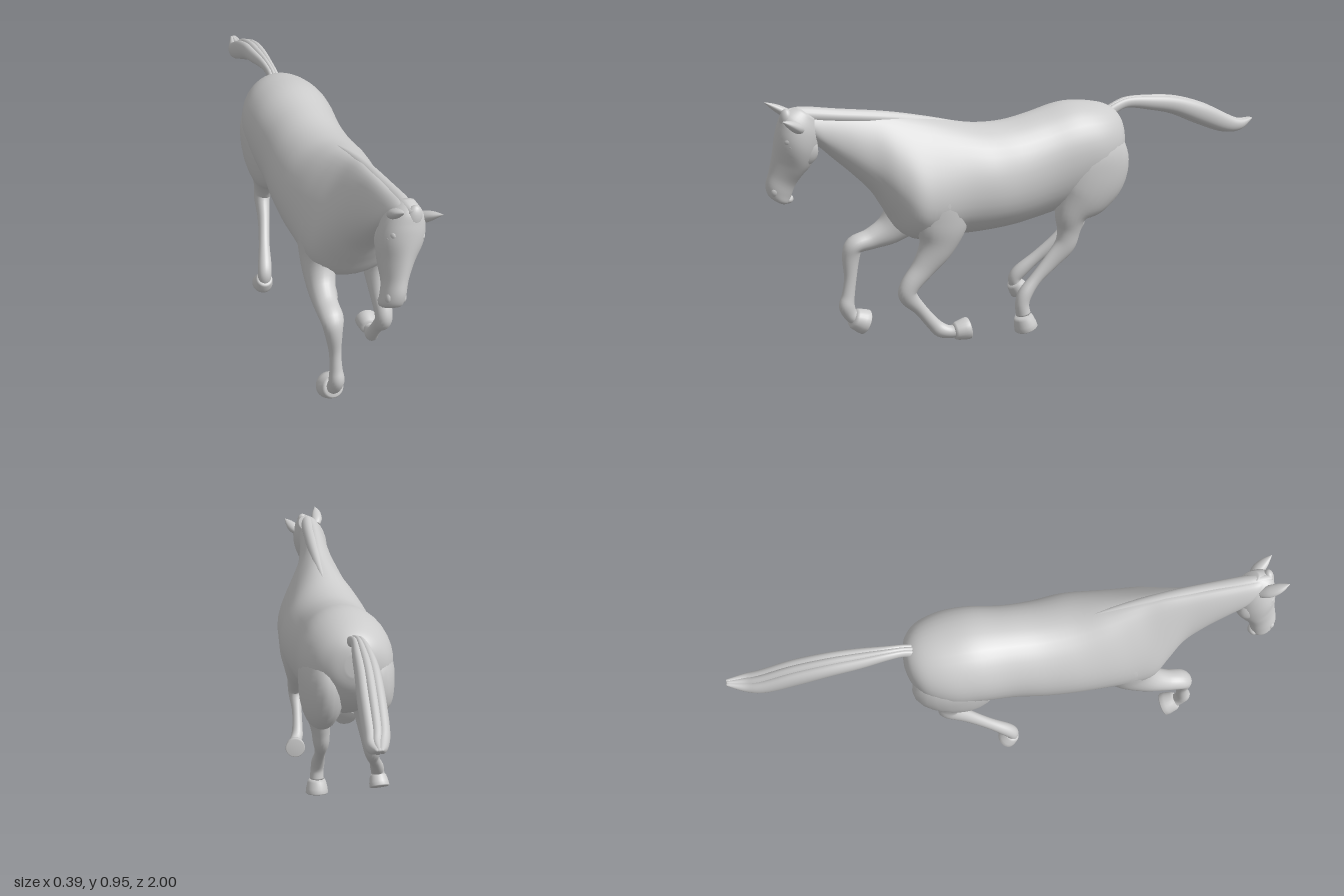
import * as THREE from 'three';

const material = new THREE.MeshStandardMaterial({ color: 0xcccccc });
const V = (x, y, z) => new THREE.Vector3(x, y, z);

// Smoothly interpolate rows of numbers (Catmull-Rom on every column).
function resample(rows, steps) {
  const out = [];
  const last = rows.length - 1;
  for (let i = 0; i <= last * steps; i++) {
    const k = Math.min(Math.floor(i / steps), last - 1), t = i / steps - k;
    const [a, b, c, d] = [k - 1, k, k + 1, k + 2].map((n) => rows[Math.min(Math.max(n, 0), last)]);
    out.push(b.map((p, j) => p + 0.5 * t * (c[j] - a[j]
      + t * (2 * a[j] - 5 * p + 4 * c[j] - d[j] + t * (3 * (p - c[j]) + d[j] - a[j])))));
  }
  return out;
}

// Skin closed rings {c, side, depth, egg}; egg narrows the +depth half.
function skin(name, rings, n) {
  const pos = [], idx = [];
  for (const r of rings) {
    for (let j = 0; j < n; j++) {
      const a = (j / n) * Math.PI * 2, s = Math.sin(a);
      const p = r.c.clone().addScaledVector(r.side, Math.cos(a) * (1 - (r.egg || 0) * s)).addScaledVector(r.depth, s);
      pos.push(p.x, p.y, p.z);
    }
  }
  for (let i = 0; i < rings.length - 1; i++) {
    for (let j = 0; j < n; j++) {
      const a = i * n + j, b = i * n + (j + 1) % n;
      idx.push(a, b, b + n, a, b + n, a + n);
    }
  }
  const end = rings.length * n, tail = end - n;
  for (const r of [rings[0], rings[rings.length - 1]]) pos.push(r.c.x, r.c.y, r.c.z);
  for (let j = 0; j < n; j++) {
    const k = (j + 1) % n;
    idx.push(end, k, j, end + 1, tail + j, tail + k);
  }
  const g = new THREE.BufferGeometry();
  g.setAttribute('position', new THREE.Float32BufferAttribute(pos, 3));
  g.setIndex(idx);
  g.computeVertexNormals();
  const mesh = new THREE.Mesh(g, material);
  mesh.name = name;
  return mesh;
}

// Rows: x, lower z, lower y, upper z, upper y, half width, egg
function slab(name, rows, steps = 5, n = 36) {
  return skin(name, resample(rows, steps).map(([x, z0, y0, z1, y1, w, egg]) => ({
    c: V(x, (y0 + y1) / 2, (z0 + z1) / 2),
    side: V(Math.max(w, 0.001), 0, 0),
    depth: V(0, (y1 - y0) / 2, (z1 - z0) / 2), egg,
  })), n);
}

// Rows: x, y, z, half width, half depth; rings stand square to the path
function limb(name, rows, steps = 5, n = 24) {
  const s = resample(rows, steps), at = (i) => V(...s[Math.min(Math.max(i, 0), s.length - 1)].slice(0, 3));
  return skin(name, s.map(([x, y, z, w, d], i) => {
    const t = at(i + 1).sub(at(i - 1)).normalize();
    const side = V(1, 0, 0).addScaledVector(t, -t.x).normalize();
    const depth = t.clone().cross(side);
    return { c: V(x, y, z), side: side.multiplyScalar(Math.max(w, 0.001)), depth: depth.multiplyScalar(Math.max(d, 0.001)) };
  }), n);
}

// Rounded hoof turned from coronet to sole
function hoof(name, top, sole, r = 0.041) {
  const axis = top.clone().sub(sole), h = axis.length();
  const profile = [[0, 0], [0.9, 0], [1, 0.08], [0.96, 0.4], [0.82, 0.9], [0.68, 1.1], [0, 1.15]]
    .map(([a, b]) => new THREE.Vector2(a * r, b * h));
  const m = new THREE.Mesh(new THREE.LatheGeometry(profile, 24), material);
  m.position.copy(sole);
  m.quaternion.setFromUnitVectors(V(0, 1, 0), axis.normalize());
  m.name = name;
  return m;
}

function ball(name, p, sx, sy, sz) {
  const m = new THREE.Mesh(new THREE.SphereGeometry(1, 20, 14), material);
  m.position.copy(p);
  m.scale.set(sx, sy, sz);
  m.name = name;
  return m;
}

export function createModel() {
  const horse = new THREE.Group();
  horse.name = 'gallopingHorse';

  // Rump, barrel, chest and neck in one skin, rear to front
  horse.add(slab('bodyAndNeck', [
    [0, -0.37, 0.69, -0.364, 0.77, 0.03, 0],
    [0, -0.357, 0.635, -0.347, 0.81, 0.082, 0],
    [0, -0.31, 0.56, -0.3, 0.84, 0.135, 0],
    [0, -0.22, 0.49, -0.22, 0.857, 0.166, -0.04],
    [0, -0.12, 0.46, -0.12, 0.86, 0.17, -0.05],
    [0, 0, 0.437, 0, 0.835, 0.165, 0],
    [0, 0.12, 0.422, 0.12, 0.815, 0.174, 0.05],
    [0.003, 0.24, 0.42, 0.24, 0.818, 0.183, 0.1],
    [0, 0.36, 0.422, 0.35, 0.84, 0.175, 0.23],
    [0, 0.47, 0.42, 0.43, 0.858, 0.166, 0.36],
    [0, 0.54, 0.45, 0.5, 0.873, 0.153, 0.46],
    [-0.004, 0.59, 0.53, 0.57, 0.888, 0.12, 0.43],
    [-0.01, 0.64, 0.61, 0.65, 0.9, 0.085, 0.32],
    [-0.015, 0.71, 0.685, 0.73, 0.912, 0.066, 0.25],
    [-0.018, 0.77, 0.742, 0.81, 0.922, 0.056, 0.2],
    [-0.018, 0.82, 0.79, 0.88, 0.93, 0.05, 0.15],
    [-0.016, 0.87, 0.83, 0.91, 0.925, 0.035, 0.1],
  ]));

  // Mane lying along the crest
  horse.add(slab('mane', [
    [0.005, 0.28, 0.8, 0.28, 0.822, 0.003, 0],
    [0.008, 0.42, 0.82, 0.42, 0.859, 0.017, 0.1],
    [0.006, 0.58, 0.845, 0.58, 0.893, 0.024, 0.1],
    [0, 0.74, 0.865, 0.75, 0.917, 0.027, 0.1],
    [-0.006, 0.88, 0.88, 0.88, 0.935, 0.027, 0.1],
    [-0.004, 0.93, 0.88, 0.945, 0.925, 0.015, 0.1],
  ], 5, 16));

  // Head, modelled upright then tipped towards the right
  const head = new THREE.Group();
  head.name = 'head';
  const pivot = V(-0.005, 0.9, 0);
  const local = (m) => { m.position.sub(pivot); head.add(m); };
  local(slab('skull', [
    [0, 0.83, 0.895, 0.89, 0.938, 0.028, 0],
    [0, 0.82, 0.84, 0.94, 0.92, 0.056, 0],
    [0, 0.825, 0.775, 0.957, 0.88, 0.069, -0.08],
    [0, 0.845, 0.728, 0.967, 0.835, 0.067, -0.05],
    [0, 0.873, 0.695, 0.976, 0.775, 0.052, 0.15],
    [0, 0.898, 0.652, 0.986, 0.715, 0.038, 0.05],
    [0, 0.91, 0.615, 0.997, 0.665, 0.037, 0],
    [0, 0.918, 0.592, 0.99, 0.625, 0.035, 0],
    [0, 0.932, 0.585, 0.965, 0.602, 0.018, 0],
  ]));
  local(ball('chin', V(0, 0.602, 0.922), 0.024, 0.016, 0.02));
  local(ball('forelock', V(0.004, 0.895, 0.932), 0.027, 0.042, 0.022));
  for (const s of [-1, 1]) {
    local(ball('eye', V(s * 0.056, 0.822, 0.925), 0.008, 0.009, 0.013));
    local(ball('brow', V(s * 0.046, 0.838, 0.924), 0.014, 0.018, 0.026));
    local(ball('nostril', V(s * 0.024, 0.645, 0.973), 0.011, 0.018, 0.014));
    local(ball('cheek', V(s * 0.036, 0.79, 0.872), 0.024, 0.05, 0.042));
  }
  head.position.copy(pivot);
  head.rotation.z = -0.24;
  horse.add(head);

  // Pricked ears
  horse.add(limb('rightEar', [[-0.045, 0.895, 0.895, 0.018, 0.014], [-0.053, 0.912, 0.92, 0.023, 0.016],
    [-0.056, 0.932, 0.953, 0.018, 0.011], [-0.054, 0.95, 0.985, 0.001, 0.001]], 5, 16));
  horse.add(limb('leftEar', [[0.034, 0.865, 0.895, 0.018, 0.016], [0.05, 0.878, 0.915, 0.023, 0.018],
    [0.066, 0.893, 0.94, 0.017, 0.012], [0.082, 0.907, 0.967, 0.001, 0.001]], 5, 16));

  // Streaming tail of three overlapping locks
  const tail = [
    [0, 0.79, -0.31, 0.025, 0.025], [0, 0.818, -0.36, 0.022, 0.02], [-0.004, 0.831, -0.42, 0.026, 0.022],
    [-0.002, 0.822, -0.52, 0.037, 0.03], [0.003, 0.803, -0.63, 0.043, 0.037], [0.012, 0.76, -0.75, 0.046, 0.044],
    [0.02, 0.71, -0.87, 0.043, 0.038], [0.03, 0.7, -0.935, 0.034, 0.025], [0.035, 0.719, -0.998, 0.012, 0.004],
  ];
  for (const o of [-1, 0, 1]) {
    horse.add(limb('tailLock', tail.map(([x, y, z, w, d]) => [x + o * w * 0.48, y, z, w * 0.5, d * (o ? 0.88 : 1)])));
  }

  // Forelegs: left folded back, right reaching forward
  horse.add(limb('leftForeleg', [
    [0.08, 0.74, 0.39, 0.02, 0.04], [0.106, 0.62, 0.42, 0.064, 0.1], [0.11, 0.5, 0.43, 0.062, 0.1],
    [0.107, 0.415, 0.45, 0.047, 0.068], [0.1, 0.34, 0.5, 0.036, 0.044], [0.097, 0.28, 0.552, 0.032, 0.035],
    [0.096, 0.24, 0.558, 0.029, 0.033], [0.096, 0.185, 0.515, 0.021, 0.023], [0.1, 0.125, 0.47, 0.022, 0.024],
    [0.106, 0.095, 0.442, 0.025, 0.027], [0.118, 0.085, 0.41, 0.024, 0.023], [0.122, 0.088, 0.385, 0.026, 0.025],
  ]));
  horse.add(hoof('leftForeHoof', V(0.12, 0.083, 0.39), V(0.126, 0.09, 0.336)));
  horse.add(limb('rightForeleg', [
    [-0.08, 0.74, 0.39, 0.02, 0.04], [-0.108, 0.62, 0.43, 0.062, 0.1], [-0.114, 0.5, 0.46, 0.06, 0.095],
    [-0.128, 0.43, 0.525, 0.05, 0.062], [-0.138, 0.397, 0.6, 0.042, 0.04], [-0.141, 0.38, 0.665, 0.04, 0.033],
    [-0.141, 0.337, 0.681, 0.031, 0.032], [-0.137, 0.26, 0.688, 0.021, 0.023], [-0.137, 0.195, 0.699, 0.022, 0.024],
    [-0.137, 0.155, 0.707, 0.027, 0.029], [-0.138, 0.12, 0.695, 0.025, 0.026], [-0.138, 0.1, 0.677, 0.026, 0.026],
  ]));
  horse.add(hoof('rightForeHoof', V(-0.138, 0.1, 0.682), V(-0.138, 0.075, 0.634), 0.047));

  // Hind legs with heavy haunches that sink into the rump
  const haunch = (s) => [
    [s * 0.06, 0.81, -0.2, 0.02, 0.04], [s * 0.075, 0.76, -0.2, 0.054, 0.1],
    [s * 0.085, 0.68, -0.2, 0.08, 0.154], [s * 0.089, 0.6, -0.19, 0.082, 0.163],
  ];
  horse.add(limb('leftHindLeg', [
    ...haunch(1), [0.09, 0.52, -0.155, 0.072, 0.13], [0.088, 0.45, -0.115, 0.05, 0.072],
    [0.082, 0.385, -0.108, 0.036, 0.048], [0.078, 0.325, -0.092, 0.031, 0.042], [0.072, 0.265, -0.035, 0.023, 0.032],
    [0.067, 0.205, 0.028, 0.021, 0.024], [0.067, 0.155, 0.072, 0.026, 0.028], [0.069, 0.115, 0.087, 0.026, 0.027],
    [0.071, 0.075, 0.083, 0.028, 0.028],
  ]));
  horse.add(hoof('leftHindHoof', V(0.071, 0.066, 0.085), V(0.073, 0.014, 0.071), 0.045));
  horse.add(limb('rightHindLeg', [
    ...haunch(-1), [-0.09, 0.52, -0.185, 0.072, 0.13], [-0.085, 0.45, -0.205, 0.05, 0.065],
    [-0.085, 0.39, -0.228, 0.036, 0.047], [-0.09, 0.345, -0.232, 0.031, 0.042], [-0.105, 0.285, -0.17, 0.023, 0.031],
    [-0.13, 0.22, -0.09, 0.021, 0.024], [-0.15, 0.165, -0.025, 0.026, 0.028], [-0.158, 0.135, -0.002, 0.026, 0.026],
    [-0.16, 0.108, -0.006, 0.026, 0.026],
  ]));
  horse.add(hoof('rightHindHoof', V(-0.16, 0.114, 0), V(-0.162, 0.075, -0.027), 0.04));
  return horse;
}
